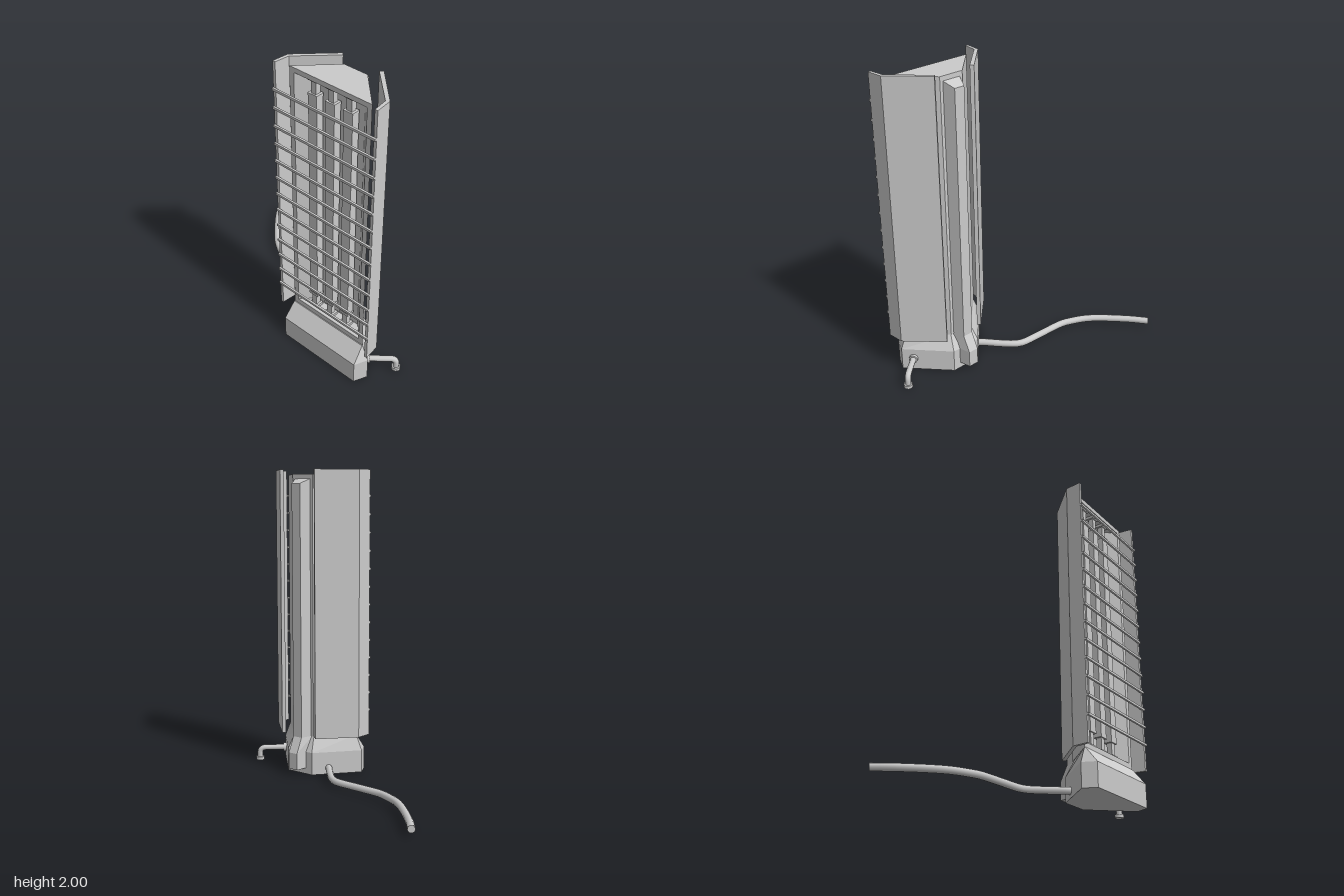
import * as THREE from 'three';

const grey = new THREE.MeshStandardMaterial({ color: 0xcccccc });
const CX = 0.385; // centre line of the heater body

// Joins rings of 3D points (counter-clockwise along the loft) and caps both ends, faceted
function loft(rings) {
  const pos = [];
  const tri = (...pts) => pts.forEach((p) => pos.push(...p));
  const n = rings[0].length;
  for (let r = 0; r < rings.length - 1; r++) {
    const a = rings[r], b = rings[r + 1];
    for (let i = 0; i < n; i++) {
      const j = (i + 1) % n;
      tri(a[i], a[j], b[j]);
      tri(a[i], b[j], b[i]);
    }
  }
  const first = rings[0], last = rings[rings.length - 1];
  for (let i = 1; i < n - 1; i++) {
    tri(first[0], first[i + 1], first[i]);
    tri(last[0], last[i], last[i + 1]);
  }
  const g = new THREE.BufferGeometry();
  g.setAttribute('position', new THREE.Float32BufferAttribute(pos, 3));
  g.computeVertexNormals();
  return g;
}

// Horizontal ring, symmetric about the centre line, from [half width, z] front to back
const flatRing = (y, half) => [
  [CX - half[0][0], y, half[0][1]],
  ...half.map(([w, z]) => [CX + w, y, z]),
  ...half.slice(1).reverse().map(([w, z]) => [CX - w, y, z]),
];

// Upright rectangle at depth z
const uprightRing = (w, y0, y1, z) => [
  [CX - w, y0, z], [CX + w, y0, z], [CX + w, y1, z], [CX - w, y1, z],
];

export function createModel() {
  const model = new THREE.Group();
  const add = (name, geometry, parent = model) => {
    const mesh = new THREE.Mesh(geometry, grey);
    mesh.name = name;
    parent.add(mesh);
    return mesh;
  };
  const box = (name, w, h, d, x, y, z, parent) =>
    add(name, new THREE.BoxGeometry(w, h, d), parent).position.set(x, y, z);

  // Base with a tapered upper edge
  const foot = [[0.29, 0.44], [0.328, 0.355], [0.1, 0.105]];
  add('base', loft([
    flatRing(0, foot),
    flatRing(0.15, foot),
    flatRing(0.25, [[0.283, 0.36], [0.283, 0.355], [0.08, 0.155]]),
  ]));

  // Lamp housing: tapered shell, front rim and recess
  add('lampHousing', loft([
    uprightRing(0.08, 0.25, 1.97, 0.15),
    uprightRing(0.282, 0.25, 1.97, 0.355),
    uprightRing(0.25, 0.285, 1.94, 0.355),
    uprightRing(0.17, 0.285, 1.94, 0.27),
  ]));

  // Spine along the back, wider at the base
  const spine = (y, tip) => flatRing(y, [[0.063, 0.16], [0.034, tip]]);
  const spineTop = spine(1.91, 0.08);
  spineTop[0][1] = spineTop[1][1] = 1.945;
  add('backSpine', loft([spine(0.04, 0.03), spine(0.15, 0.03), spine(0.25, 0.08), spineTop]));

  // Three heating lamps, each with a neck and collars at both ends
  for (let i = -1; i <= 1; i++) {
    const lamp = new THREE.Group();
    lamp.name = 'heatingLamp';
    lamp.position.set(0.37 + i * 0.124, 0, 0.308);
    model.add(lamp);
    box('lampTube', 0.062, 1.46, 0.05, 0, 1.1125, 0, lamp);
    for (const s of [-1, 1]) {
      const at = (d) => 1.1125 + s * d;
      box('lampNeck', 0.036, 0.09, 0.034, 0, at(0.77), 0, lamp);
      box('lampSocket', 0.064, 0.018, 0.054, 0, at(0.818), 0, lamp);
      box('lampCollar', 0.066, 0.018, 0.054, 0, at(0.722), 0, lamp);
    }
  }

  // Bent shield panels on both sides
  const panel = [
    [0.355, 0.415], [0.345, 0.31], [0.14, 0.105],
    [0.122, 0.122], [0.325, 0.322], [0.336, 0.415],
  ];
  for (const [s, name] of [[-1, 'rightShield'], [1, 'leftShield']]) {
    const shape = new THREE.Shape(panel.map(([w, z]) => new THREE.Vector2(0.395 + s * w, -z)));
    const g = new THREE.ExtrudeGeometry(shape, { depth: 1.75, bevelEnabled: false });
    add(name, g.rotateX(-Math.PI / 2).translate(0, 0.25, 0));
  }

  // Guard bars across the front
  for (let i = 0; i < 13; i++) {
    box('guardBar', 0.71, 0.015, 0.013, 0.395, 0.42 + i * 0.1177, 0.421);
  }

  // Power cable leaving the back of the base
  const cable = new THREE.CatmullRomCurve3([
    [0.23, 0.21], [0.19, 0.17], [0.11, 0.075], [0.04, 0.005], [-0.01, -0.018], [-0.18, -0.03],
    [-0.35, -0.042], [-0.4, -0.058], [-0.53, -0.125], [-0.72, -0.315], [-0.808, -0.43],
  ].map(([x, z]) => new THREE.Vector3(x, 0.043, z)));
  add('cable', new THREE.TubeGeometry(cable, 40, 0.023, 10));
  const ahead = cable.getTangent(1);
  const cableEnd = add('cableEnd', new THREE.CircleGeometry(0.023, 10));
  cableEnd.position.copy(cable.getPoint(1));
  cableEnd.lookAt(cableEnd.position.clone().add(ahead));

  // Pipe from the side of the base, bending down to a foot flange
  const v = (x, y, z) => new THREE.Vector3(x, y, z);
  const pipe = new THREE.CurvePath();
  pipe.add(new THREE.LineCurve3(v(0.65, 0.085, 0.31), v(0.77, 0.085, 0.206)));
  pipe.add(new THREE.QuadraticBezierCurve3(v(0.77, 0.085, 0.206), v(0.8, 0.085, 0.18), v(0.8, 0.05, 0.18)));
  pipe.add(new THREE.LineCurve3(v(0.8, 0.05, 0.18), v(0.8, 0.01, 0.18)));
  add('pipe', new THREE.TubeGeometry(pipe, 24, 0.019, 10));
  const flange = () => new THREE.CylinderGeometry(0.029, 0.029, 0.022, 10);
  add('pipeFootFlange', flange()).position.set(0.8, 0.011, 0.18);
  const wallFlange = add('pipeWallFlange', flange());
  wallFlange.position.set(0.668, 0.085, 0.294);
  wallFlange.quaternion.setFromUnitVectors(v(0, 1, 0), v(0.12, 0, -0.104).normalize());

  return model;
}
